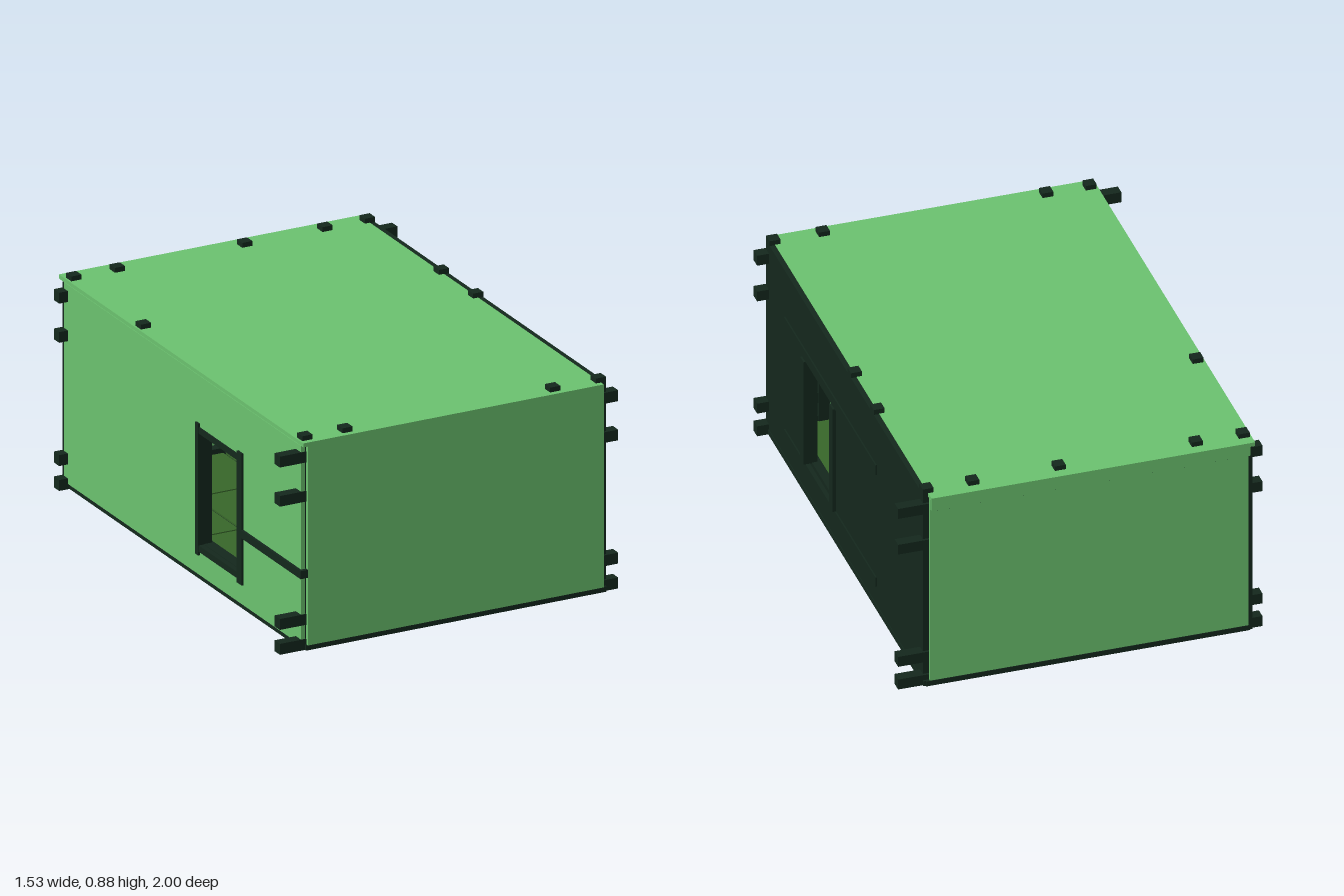
import * as THREE from 'three';

const green = new THREE.MeshStandardMaterial({ color: 0x6cc470 });
const dark = new THREE.MeshStandardMaterial({ color: 0x14281d });
const floorGreen = new THREE.MeshStandardMaterial({ color: 0x38682a });

export function createModel() {
  const model = new THREE.Group();

  // Box given by its extents along each axis
  const slab = (name, mat, [x0, x1], [y0, y1], [z0, z1]) => {
    const mesh = new THREE.Mesh(new THREE.BoxGeometry(x1 - x0, y1 - y0, z1 - z0), mat);
    mesh.position.set((x0 + x1) / 2, (y0 + y1) / 2, (z0 + z1) / 2);
    mesh.name = name;
    model.add(mesh);
    return mesh;
  };

  // Side wall in the z-y plane with a rectangular window hole
  const windowWall = (name, mat, [x0, x1], [z0, z1], [y0, y1], [hz0, hz1], [hy0, hy1]) => {
    const rect = (S, a, b, c, d) => new S([[-a, c], [-b, c], [-b, d], [-a, d]].map(p => new THREE.Vector2(...p)));
    const shape = rect(THREE.Shape, z0, z1, y0, y1);
    shape.holes.push(rect(THREE.Path, hz0, hz1, hy0, hy1));
    const geo = new THREE.ExtrudeGeometry(shape, { depth: x1 - x0, bevelEnabled: false });
    geo.rotateY(Math.PI / 2);
    const mesh = new THREE.Mesh(geo, mat);
    mesh.position.x = x0;
    mesh.name = name;
    model.add(mesh);
  };

  // Floor: staggered planks around a thin dark backing, with a rim
  slab('floorBacking', dark, [-0.64, 0.64], [0.014, 0.018], [-0.95, 0.95]);
  const rows = 5, rowDepth = 1.88 / rows, plank = 0.64, gap = 0.005;
  for (let r = 0; r < rows; r++) {
    const z = -0.94 + r * rowDepth;
    const start = -0.63 - (r % 2) * plank / 2;
    for (let x = start; x < 0.62; x += plank) {
      const a = Math.max(x, -0.63), b = Math.min(x + plank, 0.63);
      if (b - a > 0.05) slab('floorPanel', floorGreen, [a + gap, b - gap], [0.008, 0.025], [z + gap, z + rowDepth - gap]);
    }
  }
  for (const s of [-1, 1]) {
    slab('sideSill', dark, [s * 0.645 - 0.02, s * 0.645 + 0.02], [0, 0.022], [-0.975, 0.985]);
  }
  slab('frontSill', dark, [-0.655, 0.655], [0, 0.022], [0.94, 0.995]);
  slab('backSill', dark, [-0.655, 0.655], [0, 0.022], [-0.98, -0.92]);

  // Horizontal beams, their ends projecting past the corners
  for (const [y0, y1] of [[0, 0.045], [0.103, 0.148], [0.613, 0.657], [0.775, 0.82]]) {
    slab('frontBeam', dark, [-0.765, 0.71], [y0, y1], [0.942, 0.986]);
    slab('backBeam', dark, [-0.71, 0.765], [y0, y1], [-0.967, -0.923]);
    slab('leftBeam', dark, [0.605, 0.642], [y0, y1], [-0.93, 0.95]);
    slab('rightBeam', dark, [-0.655, -0.61], [y0, y1], [-0.93, 0.95]);
  }

  // Posts, their tops showing above the roof
  const posts = [
    ...[-0.64, -0.45, 0.105, 0.455, 0.64].map(x => [x, -0.935]),
    ...[-0.64, -0.465, 0.44, 0.64].map(x => [x, 0.955]),
    [-0.64, -0.365], [0.64, -0.33], [0.64, -0.05],
  ];
  for (const [x, z] of posts) {
    slab('post', dark, [x - 0.022, x + 0.022], [0, 0.882], [z - 0.022, z + 0.022]);
  }
  slab('backRightCorner', dark, [-0.668, -0.64], [0, 0.84], [-0.975, -0.945]);

  // Front and back panels, with the lip hanging from the roof at the back
  slab('frontPanel', green, [-0.65, 0.64], [0.022, 0.862], [0.984, 1]);
  slab('backPanel', green, [-0.65, 0.64], [0.022, 0.85], [-0.978, -0.964]);
  slab('backLip', green, [-0.65, 0.64], [0.805, 0.862], [-1, -0.984]);
  for (let i = 0; i < 9; i++) {
    const x = -0.58 + i * 0.14;
    slab('lipSpacer', dark, [x, x + 0.08], [0.797, 0.815], [-0.988, -0.976]);
  }

  // Roof
  slab('roof', green, [-0.67, 0.64], [0.845, 0.862], [-1, 1]);

  // Left wall, dark boards with window
  windowWall('leftWall', dark, [0.64, 0.662], [-0.955, 0.975], [0, 0.86], [0.16, 0.47], [0.145, 0.61]);
  for (const [y0, y1] of [[0.103, 0.145], [0.61, 0.655]]) {
    slab('leftWindowRail', dark, [0.65, 0.668], [y0, y1], [-0.39, 0.74]);
  }
  // Right wall, green sheet with window
  windowWall('rightWall', green, [-0.672, -0.654], [-0.955, 0.984], [0.022, 0.846], [0.155, 0.475], [0.145, 0.61]);

  // Window frames
  for (const [z0, z1] of [[0.112, 0.157], [0.472, 0.514]]) {
    slab('leftWindowJamb', dark, [0.62, 0.676], [0.145, 0.61], [z0, z1]);
    slab('rightWindowJamb', dark, [-0.68, -0.62], [0.105, 0.65], z0 < 0.3 ? [0.13, 0.157] : [z0, z1]);
  }
  for (const [y0, y1] of [[0.12, 0.146], [0.609, 0.635]]) {
    slab('rightWindowRail', dark, [-0.677, -0.62], [y0, y1], [0.14, 0.5]);
  }
  slab('rightWallBar', dark, [-0.682, -0.64], [0.302, 0.335], [0.51, 1]);

  return model;
}
